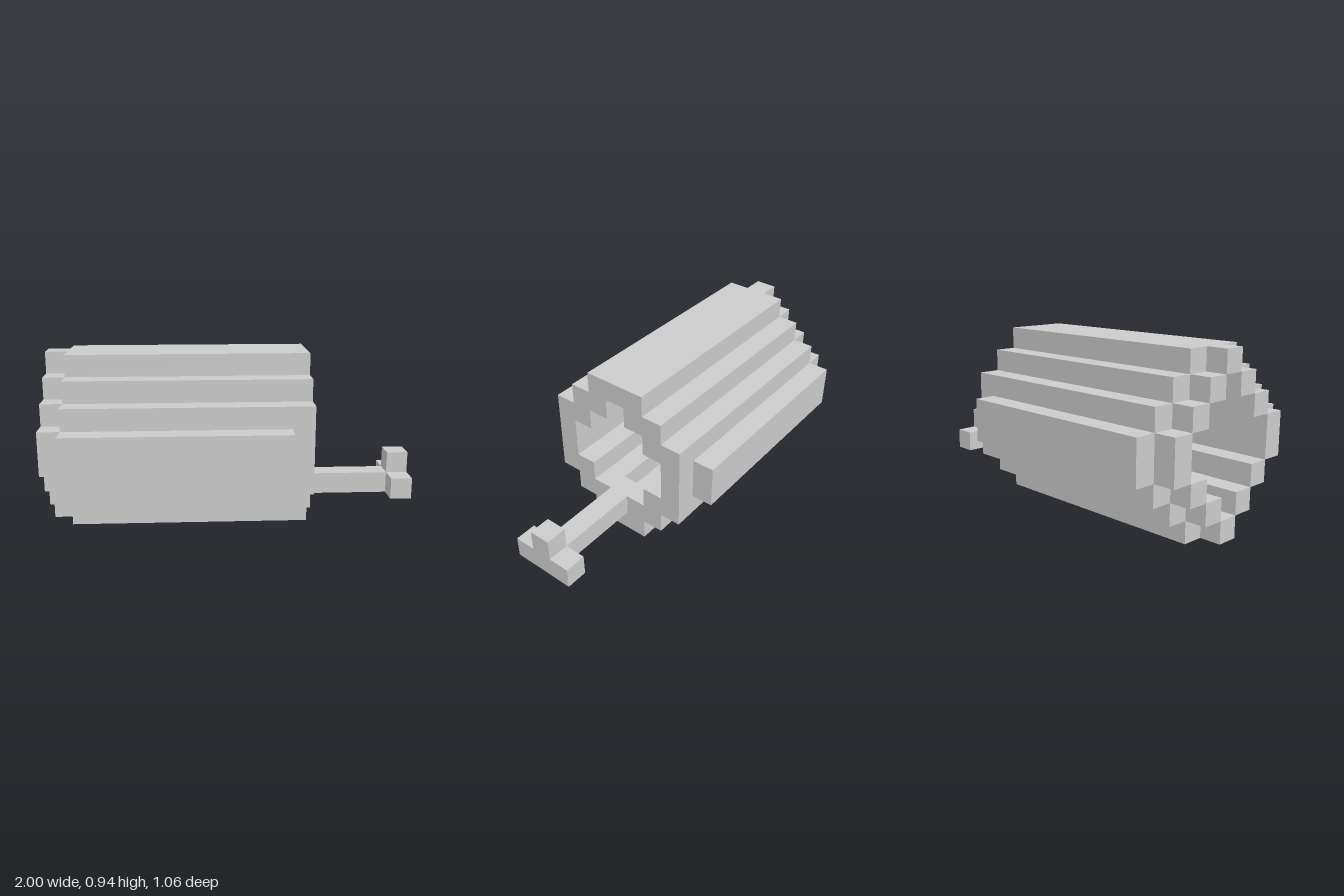
import * as THREE from 'three';

const U = 2 / 17; // one block of the grid
const material = new THREE.MeshStandardMaterial({ color: 0xcccccc, flatShading: true });

// Box in block units: x range, y range, z range (z measured from the centre line)
function block(name, x0, x1, y0, y1, z0, z1) {
  const geometry = new THREE.BoxGeometry((x1 - x0) * U, (y1 - y0) * U, (z1 - z0) * U);
  geometry.translate((x0 + x1) / 2 * U - 1, (y0 + y1) / 2 * U, (z0 + z1) / 2 * U);
  const mesh = new THREE.Mesh(geometry, material);
  mesh.name = name;
  return mesh;
}

// Symmetric stepped outline; rows are [half width, bottom, top]
function steppedOutline(rows) {
  const right = rows.flatMap(([w, y0, y1]) => [[w, y0], [w, y1]]);
  const left = right.map(([w, y]) => [-w, y]).reverse();
  return [...right, ...left].map(([x, y]) => new THREE.Vector2(x * U, y * U));
}

export function createModel() {
  const group = new THREE.Group();

  // Hollow stepped barrel, extruded along x
  const profile = new THREE.Shape(steppedOutline(
    [[1.5, 0, 1], [2.5, 1, 2], [3.5, 2, 6], [2.5, 6, 7], [1.5, 7, 8]]));
  profile.holes.push(new THREE.Path(steppedOutline(
    [[0.5, 1, 2], [1.5, 2, 3], [2.5, 3, 5], [1.5, 5, 6], [0.5, 6, 7]])));
  const barrelGeometry = new THREE.ExtrudeGeometry(profile, { depth: 11 * U, bevelEnabled: false });
  barrelGeometry.rotateY(Math.PI / 2).translate(U - 1, 0, 0);
  const barrel = new THREE.Mesh(barrelGeometry, material);
  barrel.name = 'barrel';
  group.add(barrel);

  // Ring of end teeth: top and bottom on the centre line, the rest mirrored
  const teeth = new THREE.Group();
  teeth.name = 'endTeeth';
  for (const y of [0, 7]) teeth.add(block('tooth', 0, 1, y, y + 1, -0.5, 0.5));
  for (const side of [-1, 1]) {
    for (const [z, y0, y1] of [[1, 1, 2], [2, 2, 3], [3, 3, 5], [2, 5, 6], [1, 6, 7]]) {
      teeth.add(block('tooth', 0, 1, y0, y1, side * z - 0.5, side * z + 0.5));
    }
    // Side panels
    group.add(block(side > 0 ? 'frontPanel' : 'backPanel', 1, 11, 3, 5, side * 4 - 0.5, side * 4 + 0.5));
  }
  group.add(teeth);

  // Handle rod with a crossbar and a raised tip
  const handle = new THREE.Group();
  handle.name = 'handle';
  handle.add(
    block('rod', 11, 16, 1, 2, -0.5, 0.5),
    block('crossbar', 16, 17, 1, 2, -1.5, 1.5),
    block('tip', 16, 17, 2, 3, -0.5, 0.5));
  group.add(handle);

  return group;
}
